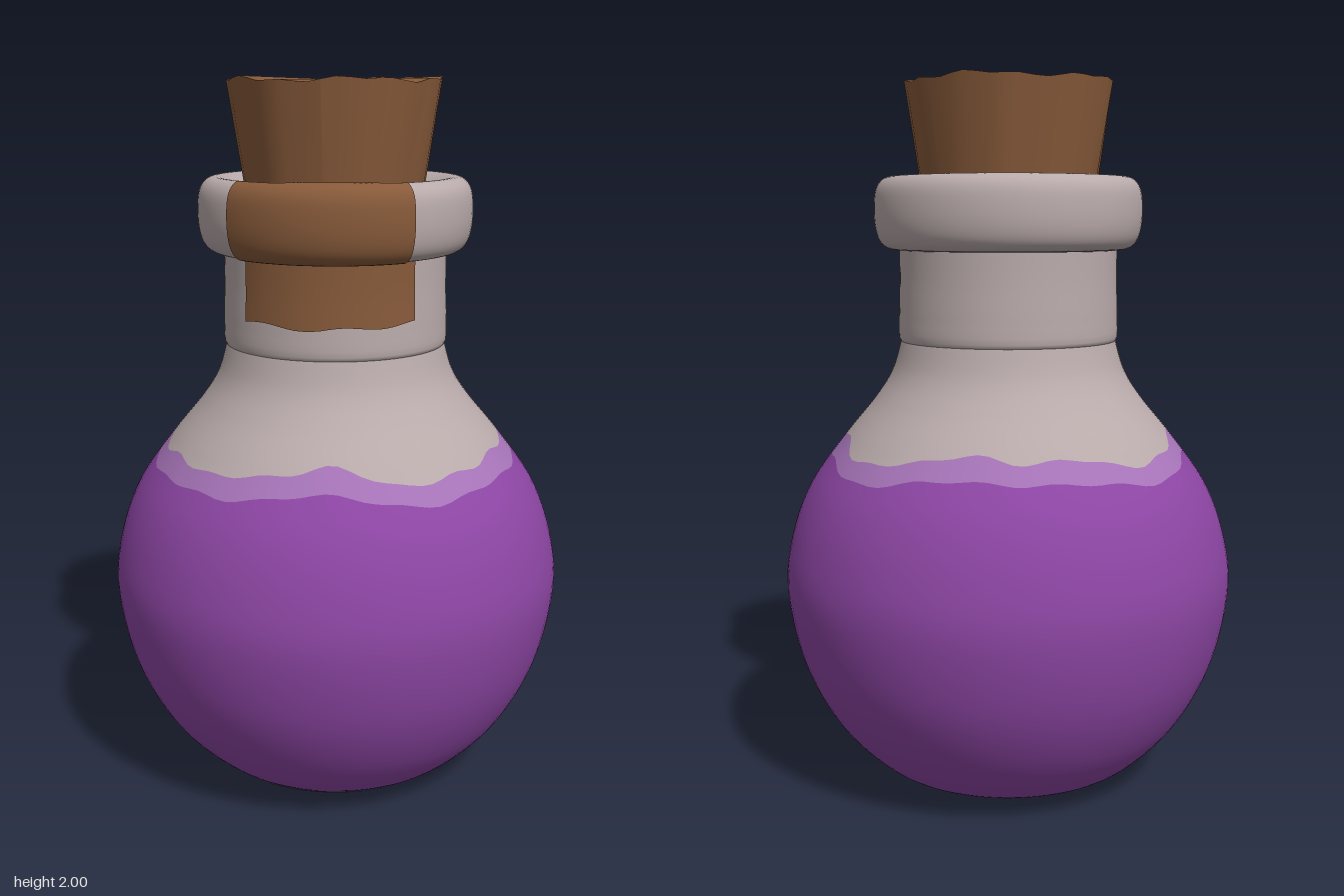
import * as THREE from 'three';

const mat = (name, color) => {
  const m = new THREE.MeshStandardMaterial({ color });
  m.name = name;
  return m;
};
const curve = pts => new THREE.SplineCurve(pts.map(([r, y]) => new THREE.Vector2(r, y)));

// Turned profiles as [radius, height]
const BODY = curve([
  [0.001, 0], [0.25, 0.006], [0.33, 0.025], [0.41, 0.07], [0.52, 0.19], [0.605, 0.36],
  [0.645, 0.56], [0.63, 0.71], [0.575, 0.86], [0.475, 1.0], [0.385, 1.11], [0.335, 1.19], [0.308, 1.28]]);
const NECK = curve([[0.3, 1.268], [0.314, 1.285], [0.314, 1.35], [0.311, 1.45], [0.311, 1.55]]);
const RIM = curve([
  [0.305, 1.53], [0.345, 1.537], [0.37, 1.565], [0.381, 1.62], [0.378, 1.69],
  [0.36, 1.725], [0.33, 1.736], [0.29, 1.725], [0.24, 1.7]]);

// Curve parameter at a given height on a rising profile
function at(profile, y) {
  let lo = 0, hi = 1;
  for (let i = 0; i < 24; i++) {
    const m = (lo + hi) / 2;
    if (profile.getPoint(m).y < y) lo = m; else hi = m;
  }
  return lo;
}

// Turned surface between two parameter limits (each a function of angle; angle 0 is the front)
function band(profile, t0, t1, { a0 = 0, a1 = Math.PI * 2, na = 96, nt = 24, lift = 0 } = {}) {
  const pos = [], nor = [], idx = [];
  for (let j = 0; j <= nt; j++) {
    for (let i = 0; i <= na; i++) {
      const a = a0 + (a1 - a0) * i / na;
      const t = THREE.MathUtils.lerp(t0(a), t1(a), j / nt);
      const p = profile.getPoint(t), d = profile.getTangent(t);
      const r = p.x + d.y * lift, y = p.y - d.x * lift;
      const shift = 0.014 * THREE.MathUtils.smoothstep(y, 1.0, 1.3);
      pos.push(r * Math.sin(a), y, r * Math.cos(a) + shift);
      nor.push(d.y * Math.sin(a), -d.x, d.y * Math.cos(a));
      if (i < na && j < nt) {
        const k = j * (na + 1) + i, u = k + na + 1;
        idx.push(k, k + 1, u, k + 1, u + 1, u);
      }
    }
  }
  const g = new THREE.BufferGeometry();
  g.setAttribute('position', new THREE.Float32BufferAttribute(pos, 3));
  g.setAttribute('normal', new THREE.Float32BufferAttribute(nor, 3));
  g.setIndex(idx);
  return g;
}

export function createModel() {
  const group = new THREE.Group();
  const glass = mat('pale glass', 0xbaabab);
  const purple = mat('purple liquid', 0x8d46a4);
  const lilac = mat('lilac liquid edge', 0xa674b8);
  const brown = mat('cork brown', 0x875a3a);
  const smoke = mat('smoky base glass', 0x8d6e92);
  const add = (name, geometry, material) => {
    const m = new THREE.Mesh(geometry, material);
    m.name = name;
    group.add(m);
    return m;
  };
  const zero = () => 0, one = () => 1;

  // Round body, split along the ragged liquid line
  const ragged = a => 0.018 * Math.cos(4 * a) + 0.009 * Math.sin(7 * a + 1) + 0.005 * Math.sin(17 * a);
  const liquidTop = a => at(BODY, 0.943 + 0.8 * ragged(a));
  const edgeTop = a => at(BODY, 0.995 + ragged(a) + 0.005 * Math.sin(11 * a));
  add('liquid', band(BODY, zero, liquidTop, { nt: 44 }), purple);
  add('liquidEdge', band(BODY, liquidTop, edgeTop, { nt: 3 }), lilac);
  add('shoulder', band(BODY, edgeTop, one, { nt: 16 }), glass);

  // Neck and rolled rim
  add('neck', band(NECK, zero, one, { nt: 12 }), glass);
  add('rim', band(RIM, zero, one, { nt: 36 }), glass);

  // Brown patch down the front of the neck and rim
  add('neckPatch', band(NECK,
    a => at(NECK, 1.358 + 0.012 * Math.abs(a) + 0.005 * Math.sin(9 * a)), one,
    { a0: -0.74, a1: 0.85, na: 28, nt: 6, lift: 0.004 }), brown);
  add('rimPatch', band(RIM, zero,
    a => 0.69 + 0.23 * Math.exp(-(((a - 0.1) / 0.28) ** 4)),
    { a0: -0.7, a1: 0.68, na: 32, nt: 30, lift: 0.004 }), brown);

  // Smoky blotches around and under the base: [start angle, end angle, inner t, outer t]
  const blotches = [
    [-0.55, 0.5, 0.17, 0.255], [2.1, 2.75, 0.17, 0.215], [3.0, 3.9, 0.1, 0.15],
    [4.2, 4.65, 0.19, 0.225], [1.1, 1.6, 0.18, 0.215], [5.1, 5.5, 0.14, 0.17]];
  blotches.forEach(([a0, a1, t0, t1]) => {
    const mid = (t0 + t1) / 2;
    const half = a => (t1 - t0) / 2 * Math.sqrt(Math.max(0, Math.sin(Math.PI * (a - a0) / (a1 - a0))));
    add('baseBlotch', band(BODY, a => mid - half(a), a => mid + half(a) * (0.85 + 0.15 * Math.sin(14 * a)),
      { a0, a1, na: 20, nt: 5, lift: 0.003 }), smoke);
  });

  // Tapered cork with a chipped top edge
  const cork = new THREE.CylinderGeometry(0.291, 0.246, 0.31, 48, 1);
  const p = cork.attributes.position;
  for (let i = 0; i < p.count; i++) {
    const x = p.getX(i), z = p.getZ(i);
    if (p.getY(i) < 0 || Math.hypot(x, z) < 0.01) continue;
    const a = Math.atan2(x, z);
    const s = 1 + 0.012 * Math.sin(9 * a) + 0.012 * Math.sin(14 * a + 2);
    p.setXYZ(i, x * s, p.getY(i) + 0.005 * Math.sin(5 * a) + 0.004 * Math.sin(12 * a), z * s);
  }
  cork.computeVertexNormals();
  add('cork', cork, brown).position.set(-0.003, 1.837, 0.006);

  return group;
}
